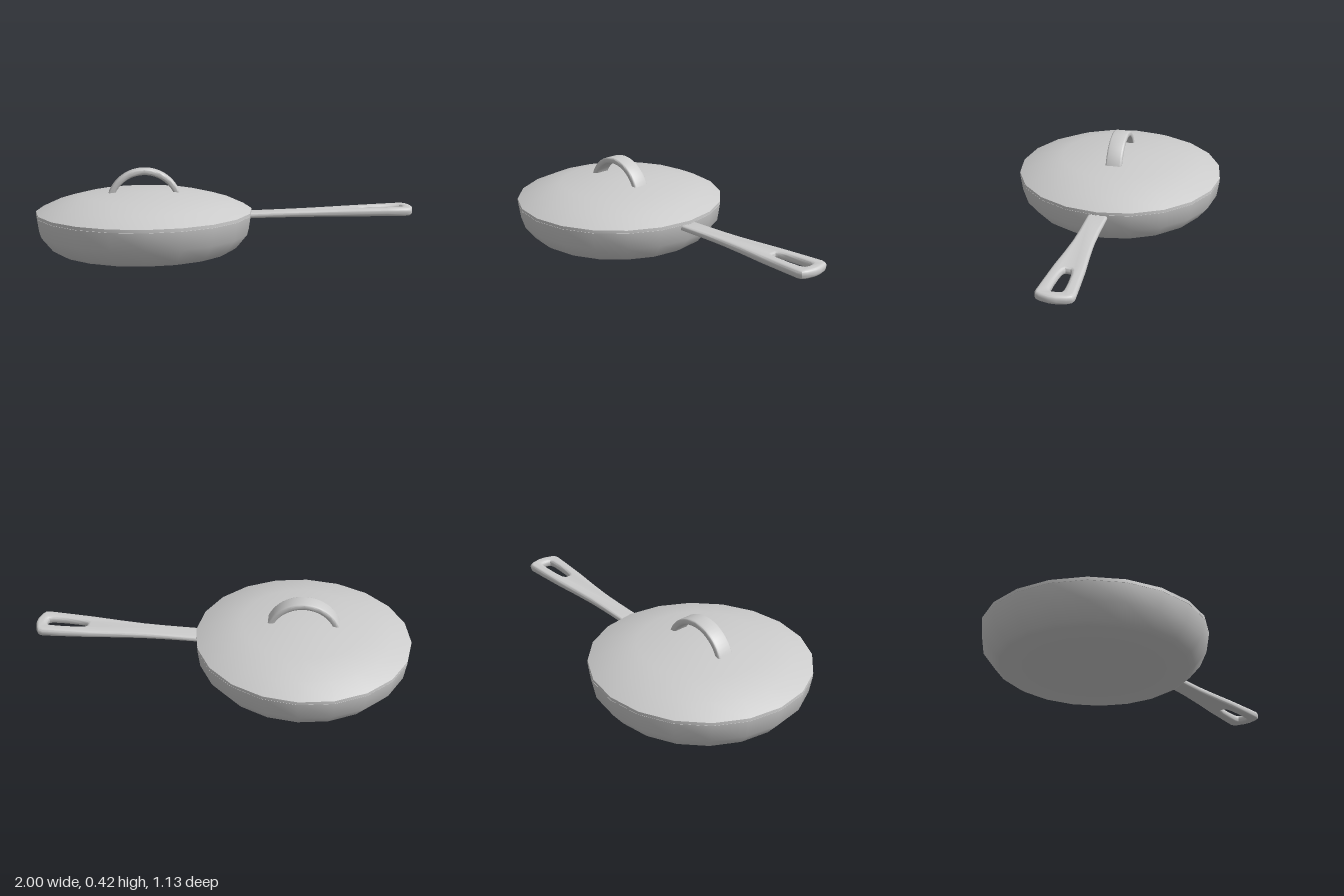
import * as THREE from 'three';
import { toCreasedNormals } from 'three/addons/utils/BufferGeometryUtils.js';

const CX = -0.433; // pan axis
const SIDES = 20;

export function createModel() {
  const group = new THREE.Group();
  const material = new THREE.MeshStandardMaterial({ color: 0xcccccc });

  const add = (name, geometry, x = 0) => {
    const mesh = new THREE.Mesh(toCreasedNormals(geometry, 0.6), material);
    mesh.name = name;
    mesh.position.x = x;
    group.add(mesh);
  };
  const lathe = (points) =>
    new THREE.LatheGeometry(points.map(([r, y]) => new THREE.Vector2(r, y)), SIDES);

  // Pan body: base, outer wall, rim, then inner wall and floor
  add('panBody', lathe([
    [0, 0], [0.467, 0], [0.495, 0.018], [0.553, 0.09], [0.567, 0.184],
    [0.542, 0.184], [0.528, 0.095], [0.475, 0.03], [0, 0.02],
  ]), CX);

  // Domed lid with a thin vertical rim and a hollow underside
  add('lid', lathe([
    [0, 0.277], [0.1, 0.277], [0.33, 0.262], [0.46, 0.226], [0.54, 0.185],
    [0.567, 0.185], [0.567, 0.201], [0.467, 0.247], [0.325, 0.284], [0.1, 0.305], [0, 0.306],
  ]), CX);

  // Arched strap handle on the lid
  const start = 0.34, outer = 0.202, inner = 0.17, bevel = 0.01;
  const arch = new THREE.Shape();
  arch.absarc(0, 0, outer, start, Math.PI - start, false);
  arch.absarc(0, 0, inner, Math.PI - start, start, true);
  arch.closePath();
  const archGeometry = new THREE.ExtrudeGeometry(arch, {
    depth: 0.09 - 2 * bevel, curveSegments: 12,
    bevelThickness: bevel, bevelSize: bevel, bevelOffset: -bevel, bevelSegments: 3,
  });
  archGeometry.translate(0, 0.219, -0.045 + bevel);
  add('lidHandle', archGeometry, CX);

  // Long handle: plan outline mirrored about the x axis, with a hanging slot
  const mirrored = (half) => [...half, ...half.map(([x, z]) => [x, -z]).reverse()]
    .map(([x, z]) => new THREE.Vector2(x, z));
  const outline = new THREE.Shape(mirrored([
    [0.112, -0.052], [0.3, -0.052], [0.42, -0.055], [0.55, -0.065], [0.7, -0.08],
    [0.85, -0.09], [0.95, -0.096], [0.975, -0.088], [0.988, -0.065], [1, -0.018],
  ]));
  outline.holes.push(new THREE.Path(mirrored([
    [0.724, -0.012], [0.735, -0.02], [0.775, -0.027], [0.85, -0.032], [0.92, -0.032],
    [0.938, -0.026], [0.943, -0.012],
  ])));
  const round = 0.016;
  const handle = new THREE.ExtrudeGeometry(outline, {
    depth: 0.2, bevelThickness: 0.4, bevelSize: round, bevelOffset: -round, bevelSegments: 4,
  });
  handle.translate(0, 0, 0.4);
  handle.rotateX(-Math.PI / 2);
  // Height 0..1 maps to the rising, slightly thickening grip
  const pos = handle.attributes.position;
  for (let i = 0; i < pos.count; i++) {
    const d = pos.getX(i) - 0.13;
    const bottom = 0.153 + 0.009 * d;
    const top = 0.182 + 0.028 * d;
    pos.setY(i, THREE.MathUtils.lerp(bottom, top, pos.getY(i)));
  }
  handle.computeVertexNormals();
  add('panHandle', handle);

  return group;
}
